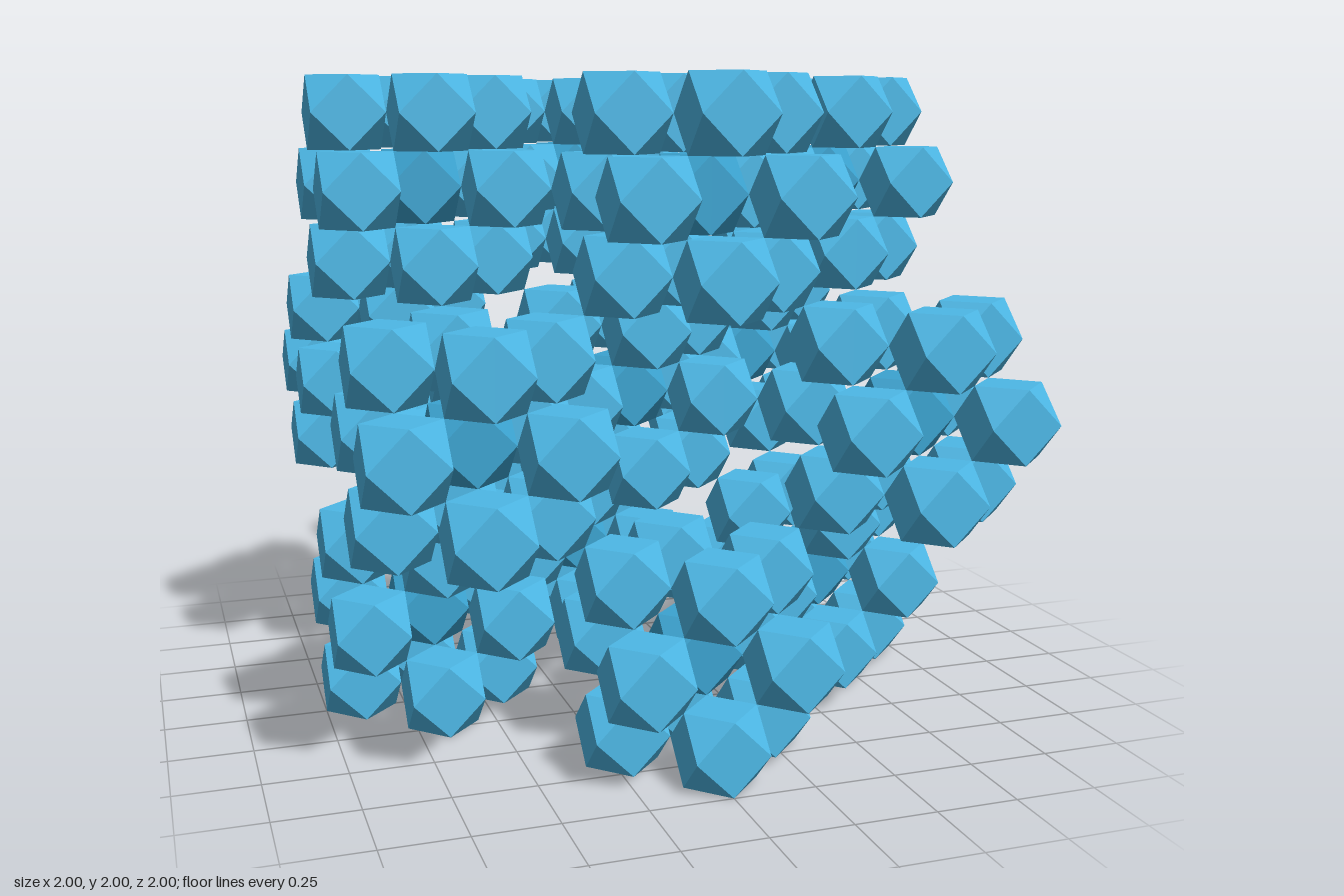
import * as THREE from 'three';
import { ConvexGeometry } from 'three/addons/geometries/ConvexGeometry.js';

const R = 1 / 9; // half width of one small solid

// The twelve corner directions of a cuboctahedron: all (±1, ±1, 0) arrangements
function cornerDirections() {
  const dirs = [];
  for (const a of [-1, 1]) for (const b of [-1, 1]) {
    dirs.push(new THREE.Vector3(a, b, 0), new THREE.Vector3(a, 0, b), new THREE.Vector3(0, a, b));
  }
  return dirs;
}

export function createModel() {
  const model = new THREE.Group();
  model.name = 'cuboctahedronFractal';

  const corners = cornerDirections();
  const solid = new ConvexGeometry(corners.map((c) => c.clone().multiplyScalar(R)));
  const outerMaterial = new THREE.MeshStandardMaterial({ color: 0x4db8e6, flatShading: true });
  const coreMaterial = new THREE.MeshStandardMaterial({ color: 0x3ba3d0, flatShading: true });

  // A centre plus twelve corners, used for the clusters and again inside each
  const sites = [new THREE.Vector3(), ...corners];

  for (const site of sites) {
    const cluster = new THREE.Group();
    cluster.name = 'cluster';
    cluster.position.copy(site).multiplyScalar(6 * R);
    sites.forEach((s, i) => {
      // The core of every cluster is a deeper blue
      const mesh = new THREE.Mesh(solid, i === 0 ? coreMaterial : outerMaterial);
      mesh.name = i === 0 ? 'coreSolid' : 'outerSolid';
      mesh.position.copy(s).multiplyScalar(2 * R);
      cluster.add(mesh);
    });
    model.add(cluster);
  }

  model.position.y = 1;
  const root = new THREE.Group();
  root.name = 'model';
  root.add(model);
  return root;
}
